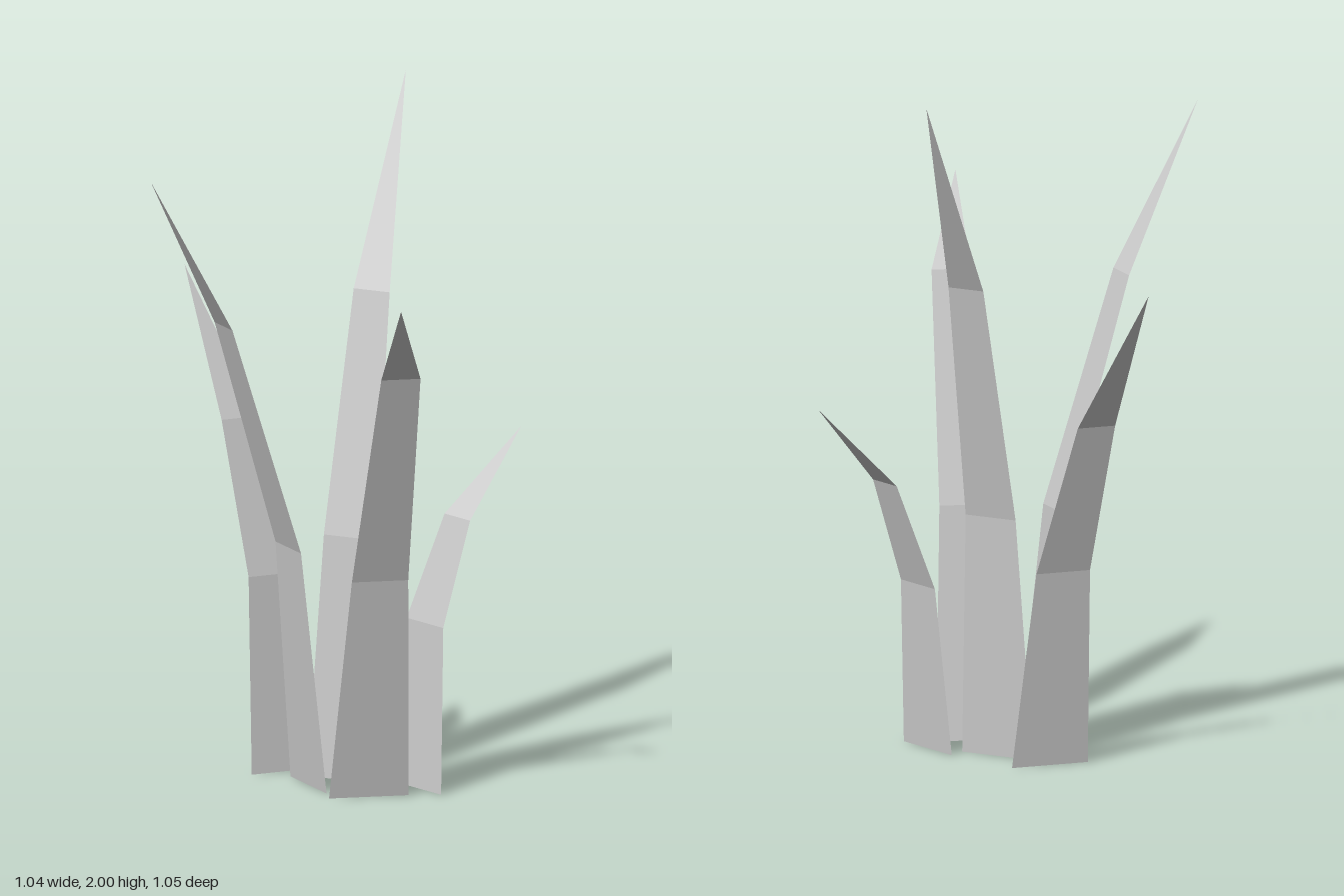
import * as THREE from 'three';

const material = new THREE.MeshStandardMaterial({
  color: 0xcccccc, flatShading: true, side: THREE.DoubleSide,
});

// Full blade width at root, lower bend, upper bend and tip
const WIDTHS = [0.233, 0.165, 0.115, 0];

// Each blade: root position, heading in degrees (0 = front, 90 = left),
// and per row above the root: [height, outward reach, sideways drift]
const BLADES = [
  { name: 'backBlade', x: 0.047, z: -0.065, heading: 180,
    rows: [[0.71, 0.04, 0], [1.41, 0.185, 0], [2, 0.465, -0.027]] },
  { name: 'frontRightBlade', x: -0.018, z: 0.032, heading: -37.6,
    rows: [[0.71, 0.065, 0], [1.39, 0.278, -0.01], [1.86, 0.543, -0.072]] },
  { name: 'frontLeftBlade', x: 0.202, z: 0.087, heading: 36.4,
    rows: [[0.667, 0.123, -0.01], [1.315, 0.34, -0.031], [1.565, 0.538, 0.005]] },
  { name: 'backLeftBlade', x: 0.272, z: -0.074, heading: 155.7,
    rows: [[0.485, 0.028, 0.01], [0.79, 0.121, 0.044], [1.03, 0.343, 0.065]] },
  { name: 'backRightBlade', x: -0.1445, z: -0.0975, heading: -129.8,
    rows: [[0.575, 0.042, -0.025], [1.02, 0.151, -0.086], [1.44, 0.35, -0.171]] },
];

// A thin folded strip: two quads closed by a pointed triangle
function createBlade({ name, x, z, heading, rows }) {
  const angle = THREE.MathUtils.degToRad(heading);
  const outward = new THREE.Vector3(Math.sin(angle), 0, Math.cos(angle));
  const across = new THREE.Vector3(-Math.cos(angle), 0, Math.sin(angle));

  const edges = [[0, 0, 0], ...rows].map(([height, reach, drift], i) =>
    [-0.5, 0.5].map((side) => new THREE.Vector3(x, height, z)
      .addScaledVector(outward, reach)
      .addScaledVector(across, drift + side * WIDTHS[i])));

  const corners = [];
  for (let i = 0; i < edges.length - 1; i++) {
    const [a, b] = edges[i];
    const [c, d] = edges[i + 1];
    corners.push(a, c, b);
    if (WIDTHS[i + 1] > 0) corners.push(b, c, d);
  }

  const geometry = new THREE.BufferGeometry().setFromPoints(corners);
  geometry.computeVertexNormals();
  const blade = new THREE.Mesh(geometry, material);
  blade.name = name;
  return blade;
}

export function createModel() {
  const group = new THREE.Group();
  group.name = 'grassTuft';
  for (const blade of BLADES) group.add(createBlade(blade));
  return group;
}
